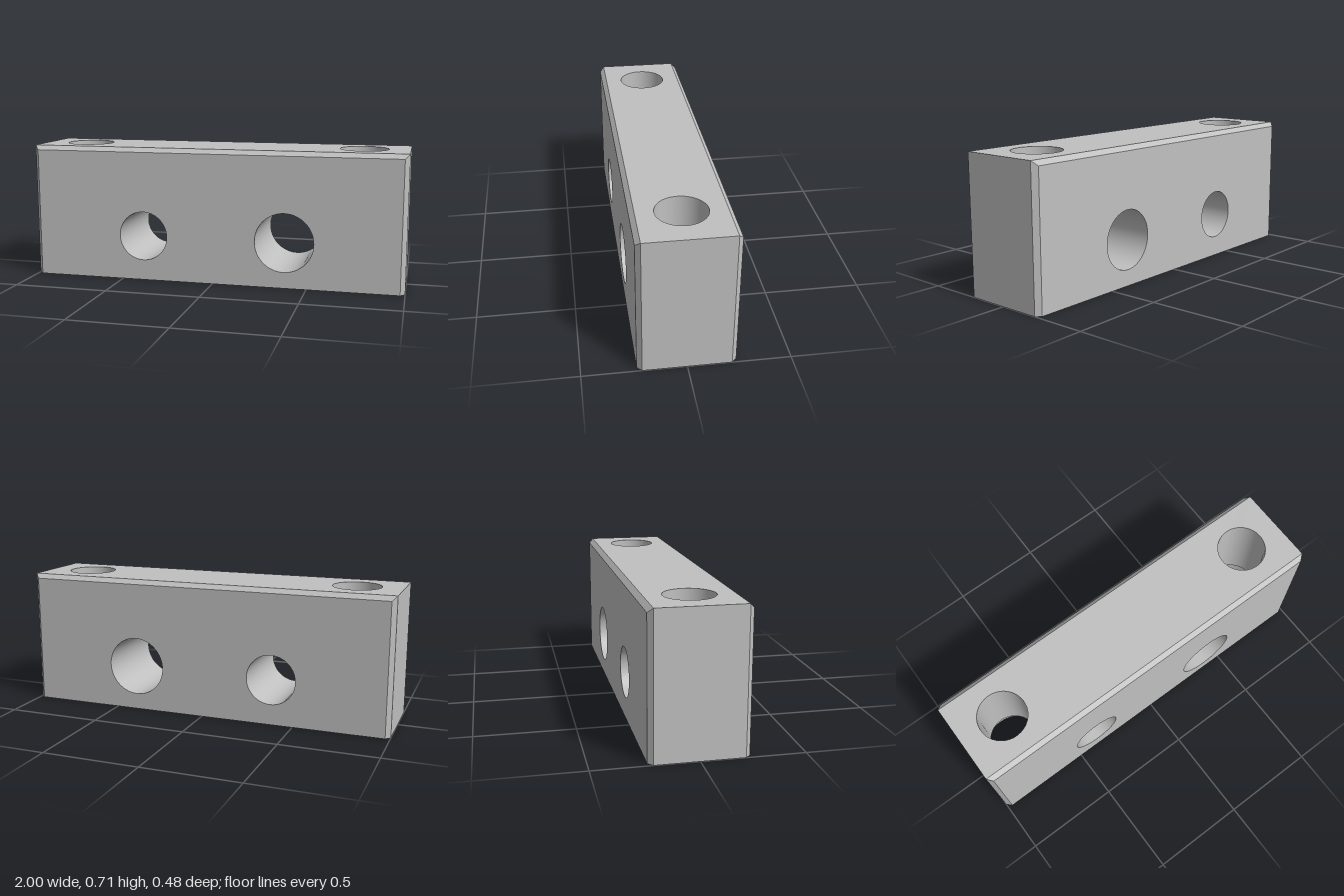
import * as THREE from 'three';

const HX = 1, H = 0.714, HZ = 0.238, C = 0.024; // half length, height, half depth, chamfer
const IX = HX - C, IY = H - C, IZ = HZ - C;
const SEG = 64;
const BOLT_X = 0.762, BOLT_R = 0.126, BORE_R = 0.202, BORE_DEPTH = 0.262;
const CROSS_Y = 0.24;
const CROSS = [{ x: -0.381, r: 0.131 }, { x: 0.381, r: 0.155 }];

// Flat outline with round holes, facing +z
function plate(points, holes) {
  const shape = new THREE.Shape(points.map(([x, y]) => new THREE.Vector2(x, y)));
  for (const { x, y, r } of holes) {
    shape.holes.push(new THREE.Path().absarc(x, y, r, 0, Math.PI * 2, true));
  }
  return new THREE.ShapeGeometry(shape, SEG / 2);
}

const rect = (x, y0, y1) => [[-x, y0], [x, y0], [x, y1], [-x, y1]];

// Quad turned to face away from the middle of the block
function quad(...corners) {
  const p = corners.map((c) => new THREE.Vector3(...c));
  const normal = p[1].clone().sub(p[0]).cross(p[2].clone().sub(p[0]));
  const out = p[0].clone().add(p[2]).multiplyScalar(0.5).sub(new THREE.Vector3(0, H / 2, 0));
  if (normal.dot(out) < 0) p.reverse();
  const geo = new THREE.BufferGeometry().setFromPoints(p);
  geo.setIndex([0, 1, 2, 0, 2, 3]);
  geo.computeVertexNormals();
  return geo;
}

// Open cylinder seen from the inside, along y
function bore(r, length) {
  const geo = new THREE.CylinderGeometry(r, r, length, SEG, 1, true);
  const index = geo.index;
  for (let i = 0; i < index.count; i += 3) {
    const a = index.getX(i);
    index.setX(i, index.getX(i + 1));
    index.setX(i + 1, a);
  }
  const n = geo.attributes.normal;
  for (let i = 0; i < n.count; i++) n.setXYZ(i, -n.getX(i), -n.getY(i), -n.getZ(i));
  return geo;
}

export function createModel() {
  const model = new THREE.Group();
  model.name = 'mountingBlock';
  const steel = new THREE.MeshStandardMaterial({ color: 0xc0c0c0 });
  steel.name = 'steelGrey';
  const add = (name, geo) => {
    const mesh = new THREE.Mesh(geo, steel);
    mesh.name = name;
    model.add(mesh);
  };

  // Large faces with the cross holes
  const faceHoles = (s) => CROSS.map(({ x, r }) => ({ x: s * x, y: CROSS_Y, r }));
  add('frontFace', plate(rect(IX, 0, IY), faceHoles(1)).translate(0, 0, HZ));
  add('backFace', plate(rect(IX, 0, IY), faceHoles(-1)).rotateY(Math.PI).translate(0, 0, -HZ));

  // Top and bottom with the bolt holes
  const boltHoles = (r) => [-1, 1].map((s) => ({ x: s * BOLT_X, y: 0, r }));
  add('topFace', plate(rect(HX, -IZ, IZ), boltHoles(BOLT_R)).rotateX(-Math.PI / 2).translate(0, H, 0));
  const base = [[-IX, -HZ], [IX, -HZ], [HX, -IZ], [HX, IZ], [IX, HZ], [-IX, HZ], [-HX, IZ], [-HX, -IZ]];
  add('bottomFace', plate(base, boltHoles(BORE_R)).rotateX(Math.PI / 2));

  // Ends and chamfers
  for (const sx of [-1, 1]) {
    const x = sx * HX, ix = sx * IX;
    add('endFace', quad([x, 0, -IZ], [x, 0, IZ], [x, H, IZ], [x, H, -IZ]));
    for (const sz of [-1, 1]) {
      const z = sz * HZ, iz = sz * IZ;
      add('cornerChamfer', quad([ix, 0, z], [x, 0, iz], [x, H, iz], [ix, IY, z]));
    }
  }
  for (const s of [-1, 1]) {
    add('topChamfer', quad([-IX, IY, s * HZ], [IX, IY, s * HZ], [HX, H, s * IZ], [-HX, H, s * IZ]));
  }

  // Cross holes through the depth
  for (const { x, r } of CROSS) {
    add('crossHole', bore(r, HZ * 2).rotateX(Math.PI / 2).translate(x, CROSS_Y, 0));
  }

  // Counterbored bolt holes, wide at the bottom
  for (const s of [-1, 1]) {
    const x = s * BOLT_X;
    add('boltHole', bore(BOLT_R, H - BORE_DEPTH).translate(x, (H + BORE_DEPTH) / 2, 0));
    add('counterbore', bore(BORE_R, BORE_DEPTH).translate(x, BORE_DEPTH / 2, 0));
    add('counterboreLedge',
      new THREE.RingGeometry(BOLT_R, BORE_R, SEG).rotateX(Math.PI / 2).translate(x, BORE_DEPTH, 0));
  }
  return model;
}
